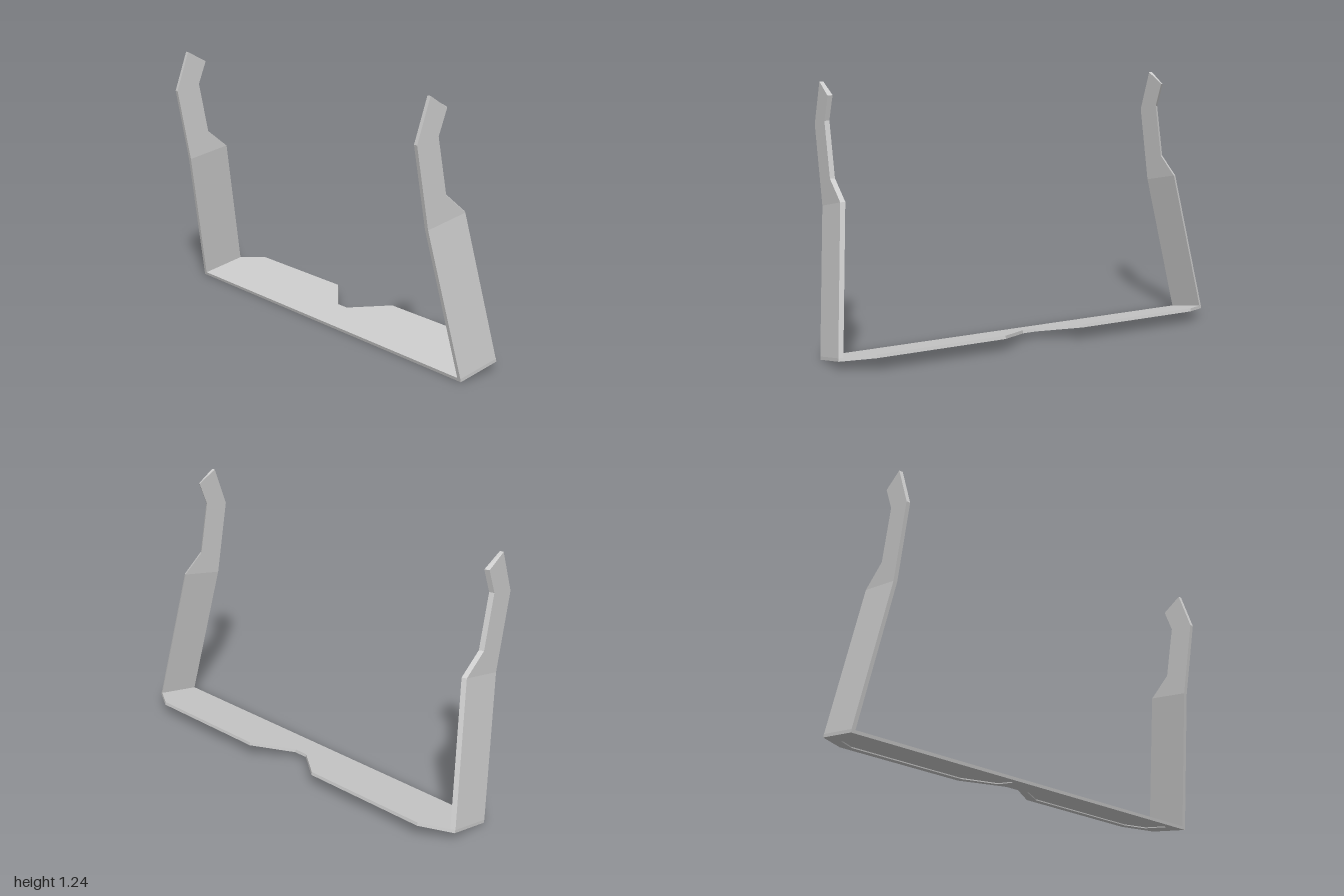
import * as THREE from 'three';

const material = new THREE.MeshStandardMaterial({ color: 0xcccccc, flatShading: true });
const THICK = 0.019;    // arm wall
const PLATE = 0.015;    // base plate
const POCKET = 0.005;   // depth of the recesses underneath
const BEND = 0.692;     // height at which the arms turn vertical

const points = (list) => list.map(([a, b]) => new THREE.Vector2(a, b));
const mirrorX = (list) => list.map(([a, b]) => [-a, b]).reverse();

// Slab with its outline in x / backward depth, lying flat
function slab(name, outline, holes, y, height) {
  const shape = new THREE.Shape(points(outline));
  for (const h of holes) shape.holes.push(new THREE.Path(points(h)));
  const geo = new THREE.ExtrudeGeometry(shape, { depth: height, bevelEnabled: false });
  geo.rotateX(-Math.PI / 2);
  geo.translate(0, y, 0);
  const mesh = new THREE.Mesh(geo, material);
  mesh.name = name;
  return mesh;
}

// Arm section: outline in backward depth / height, leaning inward up to the bend,
// with the back edge chamfered towards the outside
function armSection(name, outline, side) {
  const geo = new THREE.ExtrudeGeometry(new THREE.Shape(points(outline)),
    { depth: THICK, bevelEnabled: false });
  const p = geo.attributes.position;
  for (let i = 0; i < p.count; i++) {
    let u = p.getX(i);
    const v = p.getY(i), w = p.getZ(i);
    const outer = (w > THICK / 2) === (side > 0);
    if (outer && u > 0.12) u -= 0.0125;
    const lean = THREE.MathUtils.clamp((v - PLATE) / (BEND - PLATE), 0, 1);
    const x = 1 - 0.079 * lean - (outer ? 0 : THICK);
    p.setXYZ(i, side * x, v, -u);
  }
  geo.computeVertexNormals();
  const mesh = new THREE.Mesh(geo, material);
  mesh.name = name;
  return mesh;
}

export function createModel() {
  const model = new THREE.Group();
  model.name = 'bracket';
  const tilted = new THREE.Group();
  tilted.name = 'tiltedFrame';
  tilted.rotation.x = 0.196;
  tilted.position.z = 0.05;
  model.add(tilted);

  // Base plate with a notch in the back edge and two recesses underneath
  const half = [[1, 0], [1, 0.219], [0.86, 0.31], [0.212, 0.31], [0.035, 0.165]];
  const outline = [...half, ...mirrorX(half)];
  const pocket = [[0.92, 0.05], [0.92, 0.2], [0.83, 0.262], [0.23, 0.262], [0.09, 0.16], [0.09, 0.05]];
  tilted.add(slab('baseRim', outline, [pocket, mirrorX(pocket)], 0, POCKET));
  tilted.add(slab('basePlate', outline, [], POCKET, PLATE - POCKET));

  // Side arms
  const lower = [[0, PLATE], [0.23, PLATE], [0.23, BEND], [0, BEND]];
  const upper = [[0, BEND], [0.23, BEND], [0.136, 0.804], [0.136, 1.064],
    [0.202, 1.168], [0.109, 1.243], [0.003, 1.065]];
  for (const side of [1, -1]) {
    const arm = new THREE.Group();
    arm.name = side > 0 ? 'leftArm' : 'rightArm';
    arm.add(armSection('lowerArm', lower, side), armSection('upperArm', upper, side));
    tilted.add(arm);
  }
  return model;
}
